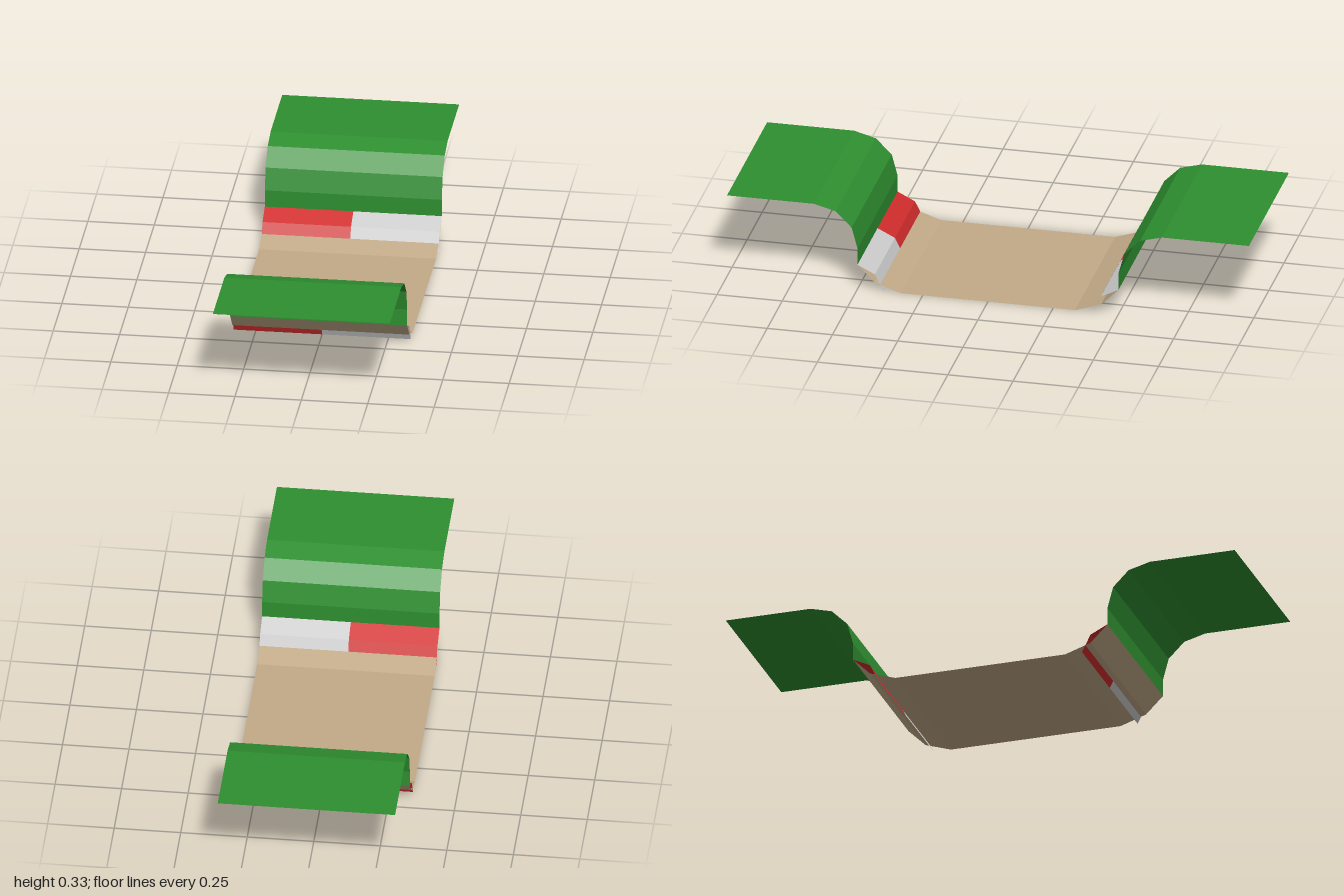
import * as THREE from 'three';

const HALF_WIDTH = 1 / 3;

function material(color) {
  return new THREE.MeshStandardMaterial({ color, flatShading: true, side: THREE.DoubleSide });
}

// Sweeps a profile of [z, y] points (z increasing) across x, top side outward
function sheet(name, profile, x0, x1, mat) {
  const pos = [];
  for (let i = 0; i < profile.length - 1; i++) {
    const [za, ya] = profile[i];
    const [zb, yb] = profile[i + 1];
    pos.push(x0, ya, za, x0, yb, zb, x1, yb, zb);
    pos.push(x0, ya, za, x1, yb, zb, x1, ya, za);
  }
  const geometry = new THREE.BufferGeometry();
  geometry.setAttribute('position', new THREE.Float32BufferAttribute(pos, 3));
  geometry.computeVertexNormals();
  const mesh = new THREE.Mesh(geometry, mat);
  mesh.name = name;
  return mesh;
}

const mirrored = (profile) => profile.map(([z, y]) => [-z, y]).reverse();

export function createModel() {
  const group = new THREE.Group();
  group.name = 'trackSection';

  const dirt = material(0xc2aa88);
  const grass = material(0x2e8f30);
  const red = material(0xcf2b2b);
  const grey = material(0xcccccc);

  // Track bed, turned up at both edges
  const edge = [[1 / 3, 0], [0.4333, 0.0333], [0.5, 0.1]];
  group.add(sheet('trackBed', [...mirrored(edge), ...edge], -HALF_WIDTH, HALF_WIDTH, dirt));

  // Kerb that cuts through the bed edge
  const kerb = [[0.4, 0], [0.4333, 0.0667], [0.5, 0.1]];

  // Bank: short wall, quarter round, flat top
  const bank = [[0.5, 0.1]];
  const r = 1 / 6;
  for (let i = 0; i <= 3; i++) {
    const a = (i * Math.PI) / 6;
    bank.push([2 / 3 - r * Math.cos(a), r + r * Math.sin(a)]);
  }
  bank.push([1, 1 / 3]);

  for (const end of ['front', 'back']) {
    const place = end === 'front' ? (p) => p : mirrored;
    group.add(sheet(end + 'KerbRed', place(kerb), -HALF_WIDTH, 0, red));
    group.add(sheet(end + 'KerbGrey', place(kerb), 0, HALF_WIDTH, grey));
    group.add(sheet(end + 'GrassBank', place(bank), -HALF_WIDTH, HALF_WIDTH, grass));
  }
  return group;
}
